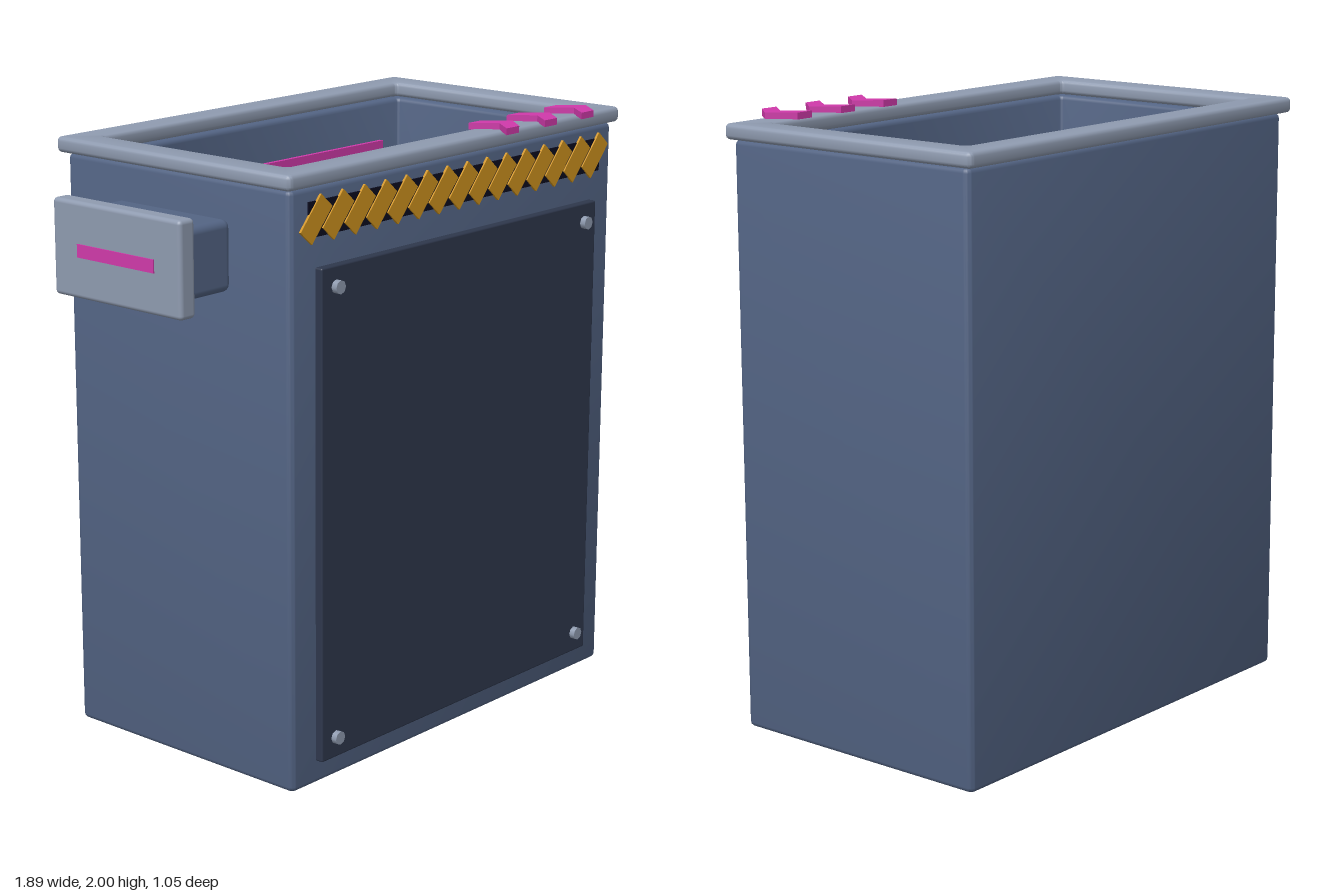
import * as THREE from 'three';
import { toCreasedNormals } from 'three/addons/utils/BufferGeometryUtils.js';
import { RoundedBoxGeometry } from 'three/addons/geometries/RoundedBoxGeometry.js';

const paint = (name, color) => {
  const m = new THREE.MeshStandardMaterial({ color });
  m.name = name;
  return m;
};

// Rectangle with rounded corners, centred on the origin
function roundedRect(path, w, h, r) {
  const x = w / 2, y = h / 2, q = Math.PI / 2;
  path.absarc(x - r, y - r, r, 0, q);
  path.absarc(-x + r, y - r, r, q, 2 * q);
  path.absarc(-x + r, -y + r, r, 2 * q, 3 * q);
  path.absarc(x - r, -y + r, r, 3 * q, 4 * q);
  path.closePath();
  return path;
}

// Upright hollow rectangle with softly rounded edges, its base on y = 0
function hollowFrame(w, d, holeW, holeD, height, bevel) {
  const shape = roundedRect(new THREE.Shape(), w, d, 0.022);
  shape.holes.push(roundedRect(new THREE.Path(), holeW, holeD, 0.014));
  const geo = new THREE.ExtrudeGeometry(shape, {
    depth: height - 2 * bevel, bevelEnabled: true, bevelSize: bevel,
    bevelThickness: bevel, bevelOffset: -bevel, bevelSegments: 3, curveSegments: 4,
  });
  geo.translate(0, 0, bevel).rotateX(-Math.PI / 2);
  return toCreasedNormals(geo, 0.6);
}

export function createModel() {
  const model = new THREE.Group();
  model.name = 'hopperBin';
  const slate = paint('slate blue', 0x536484);
  const steel = paint('light steel', 0x8f9bb0);
  const navy = paint('dark navy', 0x2e374c);
  const black = paint('near black', 0x0b0b1e);
  const amber = paint('amber', 0xd0941f);
  const magenta = paint('magenta', 0xd03aaa);

  const add = (name, geo, mat, x, y, z, parent = model) => {
    const mesh = new THREE.Mesh(geo, mat);
    mesh.name = name;
    mesh.position.set(x, y, z);
    parent.add(mesh);
    return mesh;
  };
  const box = (w, h, d) => new THREE.BoxGeometry(w, h, d);
  const soft = (w, h, d, r) => new RoundedBoxGeometry(w, h, d, 3, r);
  const cx = 0.115, cz = -0.02;

  // Hollow body and the collar around its mouth
  add('body', hollowFrame(1.61, 0.96, 1.43, 0.78, 1.925, 0.016), slate, cx, 0.003, cz);
  add('topRim', hollowFrame(1.66, 1.005, 1.44, 0.79, 0.05, 0.014), steel, cx, 1.93, cz - 0.005);

  // Dark floor, bottom flaps and light strip inside
  add('innerFloor', box(1.43, 0.02, 0.78), black, cx, 0.9, cz);
  for (const side of [-1, 1]) {
    add('bottomFlap', box(0.29, 0.04, 0.78), steel, cx + side * 0.575, 0.04, cz);
  }
  add('innerLightStrip', box(1.23, 0.04, 0.015), magenta, cx, 1.77, -0.4);

  // Front panel with corner bolts
  add('frontPanel', soft(1.385, 1.6, 0.04, 0.006), navy, 0.1125, 0.88, 0.467);
  const boltGeo = new THREE.CylinderGeometry(0.022, 0.022, 0.022, 8).rotateX(Math.PI / 2);
  for (const x of [-0.515, 0.74]) {
    for (const y of [0.15, 1.615]) add('bolt', boltGeo, steel, x, y, 0.496);
  }

  // Warning band with slanted stripes
  add('warningBand', box(1.46, 0.11, 0.008), black, cx, 1.83, 0.462);
  const stripeGeo = box(0.067, 0.14, 0.008);
  for (let i = 0; i < 15; i++) {
    add('warningStripe', stripeGeo, amber, -0.585 + i * 0.1, 1.83, 0.467).rotation.z = -0.72;
  }

  // Side outlet with flange and light slot
  const outlet = new THREE.Group();
  outlet.name = 'sideOutlet';
  model.add(outlet);
  add('outletDuct', soft(0.23, 0.225, 0.475, 0.025), slate, -0.795, 1.697, -0.027, outlet);
  add('outletFlange', soft(0.065, 0.305, 0.55, 0.014), steel, -0.91, 1.697, -0.025, outlet);
  add('outletLight', box(0.008, 0.042, 0.33), magenta, -0.943, 1.697, -0.025, outlet);

  // Three arrow markers on the front edge of the rim
  const arrow = new THREE.Shape([
    [0, -0.078], [0.065, -0.078], [0.13, 0], [0.065, 0.078], [0, 0.078], [0.062, 0],
  ].map(([x, y]) => new THREE.Vector2(x, y)));
  const arrowGeo = new THREE.ExtrudeGeometry(arrow, { depth: 0.022, bevelEnabled: false });
  arrowGeo.rotateX(-Math.PI / 2);
  for (let i = 0; i < 3; i++) add('arrowMarker', arrowGeo, magenta, 0.26 + i * 0.2, 1.978, 0.447);

  return model;
}
